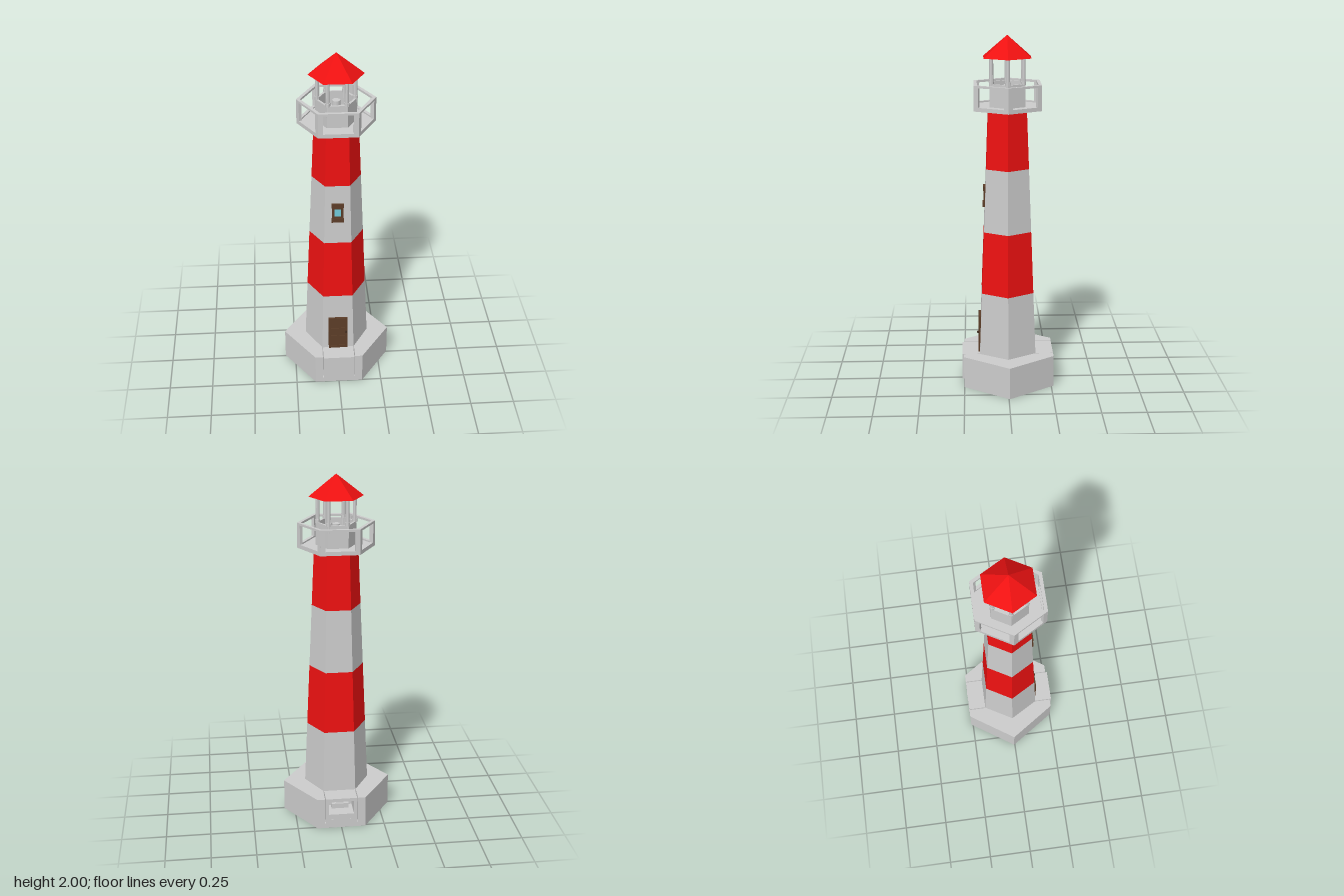
import * as THREE from 'three';

const mat = (color, side = THREE.FrontSide) => new THREE.MeshStandardMaterial({ color, flatShading: true, side });

export function createModel() {
  const grey = mat(0xcccccc), red = mat(0xee1111), brown = mat(0x5c3d28), darkBrown = mat(0x3f2a1c), glass = mat(0x6fc8d8);
  const root = new THREE.Group();
  root.name = 'lighthouse';

  const add = (name, geo, material, x = 0, y = 0, z = 0, parent = root) => {
    const m = new THREE.Mesh(geo, material);
    m.name = name;
    m.position.set(x, y, z);
    parent.add(m);
    return m;
  };
  const box = (name, w, h, d, material, x, y, z, parent) =>
    add(name, new THREE.BoxGeometry(w, h, d), material, x, y, z, parent);
  const group = (name, x = 0, y = 0, z = 0, parent = root) => {
    const g = new THREE.Group();
    g.name = name;
    g.position.set(x, y, z);
    parent.add(g);
    return g;
  };
  // hexagonal frustum standing between y0 and y1, corners on the x axis
  const hex = (name, r0, r1, y0, y1, material) => add(name,
    new THREE.CylinderGeometry(r1, r0, y1 - y0, 6).rotateY(Math.PI / 6), material, 0, (y0 + y1) / 2, 0);
  const rect = (C, x0, y0, x1, y1) => {
    const p = new C();
    p.moveTo(x0, y0); p.lineTo(x1, y0); p.lineTo(x1, y1); p.lineTo(x0, y1); p.closePath();
    return p;
  };
  const framePanel = (w, h, hole, depth) => {
    const s = rect(THREE.Shape, -w / 2, 0, w / 2, h);
    s.holes.push(rect(THREE.Path, ...hole));
    return new THREE.ExtrudeGeometry(s, { depth, bevelEnabled: false });
  };
  // horizontal outline given as [x, z], raised from y0 to y1
  const slab = (name, pts, y0, y1) => {
    const shape = new THREE.Shape(pts.map(([x, z]) => new THREE.Vector2(x, -z)));
    const geo = new THREE.ExtrudeGeometry(shape, { depth: y1 - y0, bevelEnabled: false }).rotateX(-Math.PI / 2);
    return add(name, geo, grey, 0, y0, 0);
  };

  // Plinth: full sole, then a body with a slot at the front and the back
  const zf = 0.252, zb = -0.262, n = 0.095, d = 0.15;
  slab('plinthSole', [[0.31, -0.005], [0.138, zb], [-0.138, zb], [-0.31, -0.005], [-0.138, zf], [0.138, zf]], 0, 0.03);
  slab('plinthBody', [
    [0.31, -0.005], [0.138, zb], [n, zb], [n, -d], [-n, -d], [-n, zb], [-0.138, zb],
    [-0.31, -0.005], [-0.138, zf], [-n, zf], [-n, d], [n, d], [n, zf], [0.138, zf],
  ], 0.03, 0.185);
  box('frontPlinthPanel', 0.18, 0.155, 0.112, grey, 0, 0.1075, 0.206);

  // Open compartment at the back of the plinth
  const bay = group('rearCompartment', 0, 0.03, zb);
  add('compartmentFrame', framePanel(0.18, 0.155, [-0.072, 0.055, 0.072, 0.135], 0.112), grey, 0, 0, 0, bay);
  box('compartmentStep', 0.1, 0.03, 0.04, grey, 0, 0.07, 0.09, bay);
  box('compartmentBlock', 0.04, 0.025, 0.03, grey, 0, 0.095, 0.095, bay);
  for (let i = 0; i < 4; i++) box('compartmentStud', 0.012, 0.006, 0.004, grey, -0.054 + i * 0.036, 0.022, 0, bay);

  // Tapering tower in alternating bands
  const radius = y => 0.185 - (y - 0.185) * 0.0445;
  const levels = [0.185, 0.55, 0.91, 1.27, 1.6];
  for (let i = 0; i < 4; i++)
    hex('towerBand', radius(levels[i]), radius(levels[i + 1]), levels[i], levels[i + 1], i % 2 ? red : grey);

  // Door with raised stiles, rails and a knob
  const door = group('door', 0, 0.185, 0.15);
  door.rotation.x = -0.015;
  box('doorLeaf', 0.11, 0.215, 0.028, brown, 0, 0.1075, 0, door);
  for (const s of [-1, 1]) box('doorStile', 0.014, 0.215, 0.005, brown, s * 0.048, 0.1075, 0.0155, door);
  for (const y of [0.009, 0.08, 0.135, 0.206]) box('doorRail', 0.082, 0.016, 0.005, brown, 0, y, 0.0155, door);
  box('doorMiddleStile', 0.01, 0.055, 0.005, brown, 0, 0.1075, 0.0155, door);
  add('doorKnob', new THREE.SphereGeometry(0.007, 8, 6), darkBrown, 0.046, 0.118, 0.022, door);

  // Window leaning with the wall
  const win = group('window', 0, 1.105, radius(1.105) * 0.866);
  win.rotation.x = -0.0385;
  for (const s of [-1, 1]) {
    box('windowLedge', 0.07, 0.022, 0.024, brown, 0, s * 0.046, 0, win);
    box('windowJamb', 0.012, 0.075, 0.016, brown, s * 0.025, 0, 0, win);
  }
  for (const s of [-1, 1]) box('windowRail', 0.04, 0.014, 0.014, brown, 0, s * 0.03, 0, win);
  box('windowPane', 0.04, 0.05, 0.008, glass, 0, 0, 0, win);

  // Gallery floor and its railing of six framed panels
  hex('galleryFloor', 0.213, 0.213, 1.6, 1.614, grey);
  const railing = framePanel(0.213, 0.13, [-0.08, 0.012, 0.08, 0.118], 0.018);
  for (let i = 0; i < 6; i++) {
    const side = group('railingSide', 0, 1.61, 0);
    side.rotation.y = i * Math.PI / 3;
    add('railingPanel', railing, grey, 0, 0, 0.1665, side);
  }

  // Lamp room: low hollow wall, lamp, six posts
  hex('lampRoomFloor', 0.112, 0.112, 1.614, 1.66, grey);
  const wall = new THREE.BoxGeometry(0.112, 0.126, 0.012);
  for (let i = 0; i < 6; i++) {
    const side = group('lampRoomSide', 0, 1.614, 0);
    side.rotation.y = i * Math.PI / 3;
    add('lampRoomWall', wall, grey, 0, 0.063, 0.091, side);
    const a = i * Math.PI / 3, x = Math.cos(a) * 0.101, z = Math.sin(a) * 0.101;
    add('postFoot', new THREE.CylinderGeometry(0.014, 0.014, 0.02, 8), grey, x, 1.745, z);
    add('post', new THREE.CylinderGeometry(0.0105, 0.0105, 0.19, 8), grey, x, 1.795, z);
  }
  add('lampBase', new THREE.CylinderGeometry(0.035, 0.045, 0.03, 12), grey, 0, 1.675, 0);
  add('lamp', new THREE.CylinderGeometry(0.022, 0.022, 0.04, 12), grey, 0, 1.71, 0);

  // Roof
  add('roof', new THREE.ConeGeometry(0.15, 0.12, 6).rotateY(Math.PI / 6), red, 0, 1.94, 0);

  return root;
}
